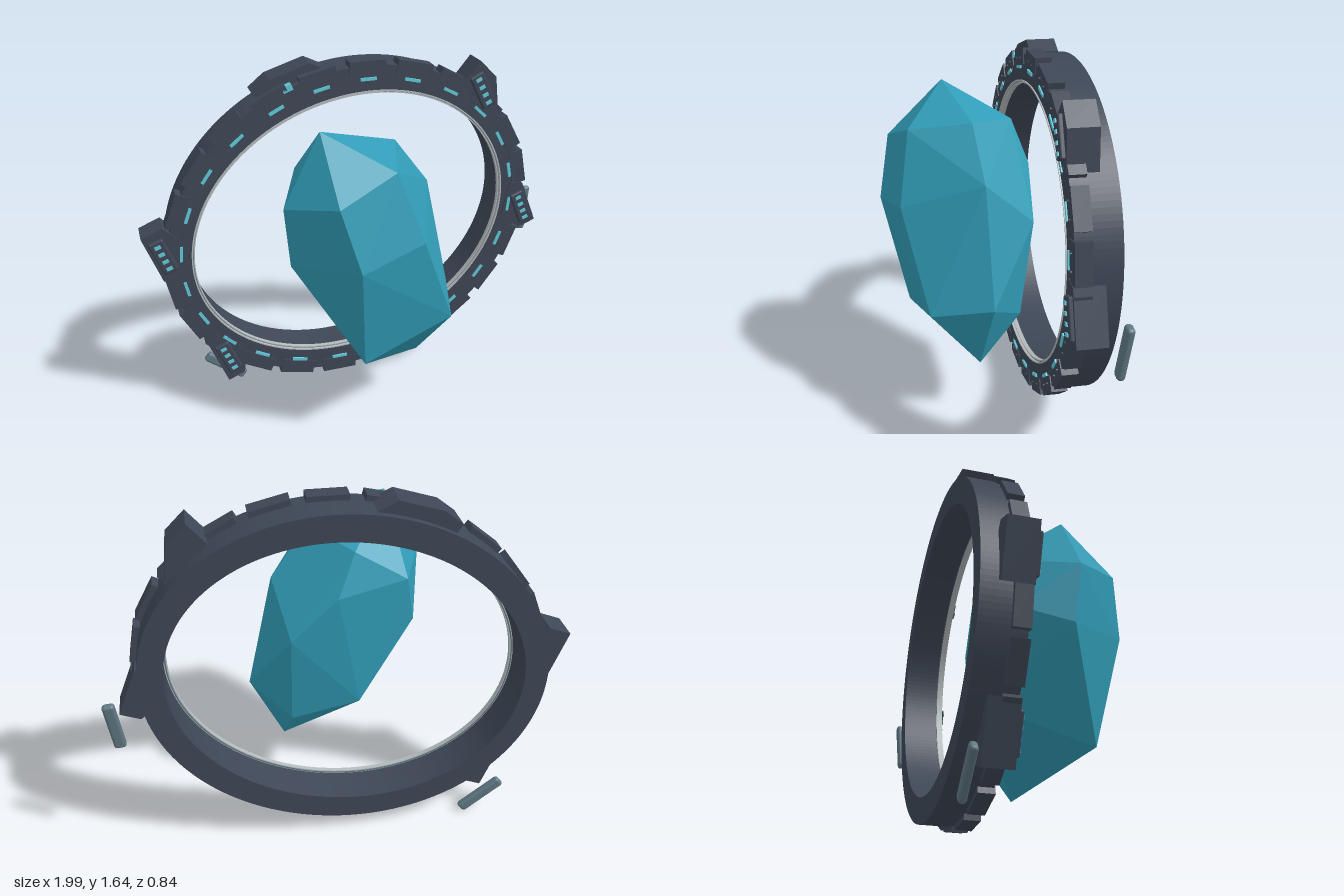
import * as THREE from 'three';
import { RoundedBoxGeometry } from 'three/addons/geometries/RoundedBoxGeometry.js';
import { ConvexGeometry } from 'three/addons/geometries/ConvexGeometry.js';

const mat = (name, color) => {
  const m = new THREE.MeshStandardMaterial({ color });
  m.name = name;
  return m;
};

export function createModel() {
  const dark = mat('dark slate', 0x3e4756);
  const teal = mat('crystal teal', 0x319cb6);
  const cyan = mat('light cyan', 0x62cbdc);
  const steel = mat('steel grey', 0x607883);
  const silver = mat('pale silver', 0xb4bbbd);

  const model = new THREE.Group();
  const add = (parent, name, geometry, material, x = 0, y = 0, z = 0, rz = 0) => {
    const mesh = new THREE.Mesh(geometry, material);
    mesh.name = name;
    mesh.position.set(x, y, z);
    mesh.rotation.z = rz;
    parent.add(mesh);
    return mesh;
  };
  const extrude = (shape, depth) =>
    new THREE.ExtrudeGeometry(shape, { depth, bevelEnabled: false, curveSegments: 96 });

  // Oval ring: local frame tilted 20 degrees
  const A = 0.88, B = 0.755;
  const ring = new THREE.Group();
  ring.name = 'ring';
  ring.position.set(-0.025, 0.853, 0);
  ring.rotation.z = THREE.MathUtils.degToRad(20);
  model.add(ring);
  const band = (a, b, ai, bi) => {
    const s = new THREE.Shape().absellipse(0, 0, a, b, 0, Math.PI * 2, false, 0);
    s.holes.push(new THREE.Path().absellipse(0, 0, ai, bi, 0, Math.PI * 2, true, 0));
    return s;
  };
  add(ring, 'ringBody', extrude(band(A, B, 0.777, 0.64), 0.187), dark, 0, 0, -0.412);
  add(ring, 'innerRim', extrude(band(0.778, 0.641, 0.772, 0.635), 0.03), silver, 0, 0, -0.25);
  add(ring, 'innerRimLip', extrude(band(0.768, 0.631, 0.763, 0.626), 0.02), silver, 0, 0, -0.25);
  add(ring, 'innerRimSeat', extrude(band(0.773, 0.636, 0.767, 0.63), 0.02), steel, 0, 0, -0.252);

  // Armour blocks, rivets and light dashes repeated around the ring
  const blockGeo = new THREE.BoxGeometry(0.07, 0.168, 0.07);
  const tabGeo = new THREE.BoxGeometry(0.035, 0.09, 0.05);
  const lightGeo = new THREE.BoxGeometry(0.014, 0.074, 0.008);
  const rivetGeo = new THREE.CylinderGeometry(0.005, 0.005, 0.008, 6).rotateX(Math.PI / 2);
  for (let i = 0; i < 24; i++) {
    const t = THREE.MathUtils.degToRad(7.5 + 15 * i);
    const c = Math.cos(t), s = Math.sin(t);
    const unit = new THREE.Group();
    unit.name = 'ringSegment';
    unit.position.set(A * c, B * s, 0);
    unit.rotation.z = Math.atan2(s / B, c / A);
    ring.add(unit);
    add(unit, 'armourBlock', blockGeo, dark, -0.013, 0, -0.255);
    add(unit, 'armourTab', tabGeo, dark, -0.045, 0, -0.247);
    add(unit, 'lightDash', lightGeo, cyan, -0.058, 0, -0.219);
    for (const k of [-1, 1]) add(unit, 'rivet', rivetGeo, dark, -0.02, k * 0.035, -0.217);
  }

  // Pods: pointed housings with a raised light panel
  const pods = [
    { p: [[0.59, 1.6], [0.515, 1.51], [0.62, 1.355], [0.69, 1.355], [0.67, 1.52]], l: [[0.575, 1.52], [0.63, 1.41]] },
    { p: [[0.785, 0.98], [0.745, 0.805], [0.85, 0.725], [0.935, 0.76], [0.85, 0.97]], l: [[0.825, 0.9], [0.87, 0.79]] },
    { p: [[-0.9, 0.98], [-0.998, 0.94], [-0.92, 0.715], [-0.835, 0.77], [-0.835, 0.91]], l: [[-0.93, 0.9], [-0.89, 0.79]] },
    { p: [[-0.65, 0.365], [-0.757, 0.35], [-0.67, 0.115], [-0.59, 0.15], [-0.575, 0.26]], l: [[-0.685, 0.31], [-0.64, 0.2]] },
  ];
  const polygon = (pts) => new THREE.Shape(pts.map(([x, y]) => new THREE.Vector2(x, y)));
  const panelGeo = new RoundedBoxGeometry(0.07, 0.17, 0.025, 1, 0.008);
  const dotGeo = new THREE.BoxGeometry(0.028, 0.016, 0.008);
  for (const { p, l: [from, to] } of pods) {
    const pod = new THREE.Group();
    pod.name = 'pod';
    model.add(pod);
    const dx = to[0] - from[0], dy = to[1] - from[1];
    const tilt = Math.atan2(dy, dx) + Math.PI / 2;
    add(pod, 'podHousing', extrude(polygon(p), 0.125), dark, 0, 0, -0.343);
    add(pod, 'podPanel', panelGeo, dark, from[0] + dx / 2, from[1] + dy / 2, -0.212, tilt);
    for (let i = 0; i < 4; i++)
      add(pod, 'podLight', dotGeo, cyan, from[0] + dx * i / 3, from[1] + dy * i / 3, -0.198, tilt);
  }

  // Wide housing at the upper left
  const cap = [[-0.43, 1.49], [-0.13, 1.575], [-0.12, 1.61], [-0.2, 1.648], [-0.38, 1.59], [-0.455, 1.53]];
  add(model, 'topHousing', extrude(polygon(cap), 0.125), dark, 0, 0, -0.383);
  add(model, 'topLight', new THREE.BoxGeometry(0.045, 0.028, 0.03), cyan, -0.31, 1.555, -0.235, 0.35);

  // Loose rods floating beside the ring
  const rodGeo = new RoundedBoxGeometry(0.052, 0.235, 0.034, 2, 0.014);
  add(model, 'rightRod', rodGeo, steel, 0.955, 0.745, -0.395, -0.1).rotation.x = -0.08;
  add(model, 'lowerRod', rodGeo, steel, -0.66, 0.094, -0.386, 0.89);

  // Faceted crystal
  const crystal = [
    [-0.26, 1.472, 0.115], [0.22, 0.27, 0.015],
    [-0.25, 1.23, 0.365], [-0.43, 1.165, 0.145], [0.01, 1.33, 0.295], [0.09, 1.37, 0.03],
    [-0.08, 1.33, -0.17], [-0.3, 1.2, -0.2],
    [-0.175, 0.955, 0.415], [0.12, 1.02, 0.345], [0.255, 1.15, 0],
    [0, 1.15, -0.235], [0.2, 0.95, -0.22], [-0.355, 0.95, -0.12], [-0.405, 0.885, 0.12],
    [0.375, 0.62, -0.02], [0.297, 0.575, 0.245], [-0.13, 0.44, 0.3],
    [0.2, 0.5, -0.17], [-0.1, 0.6, -0.22],
  ].map((v) => new THREE.Vector3(...v));
  add(model, 'crystal', new ConvexGeometry(crystal), teal);

  return model;
}
